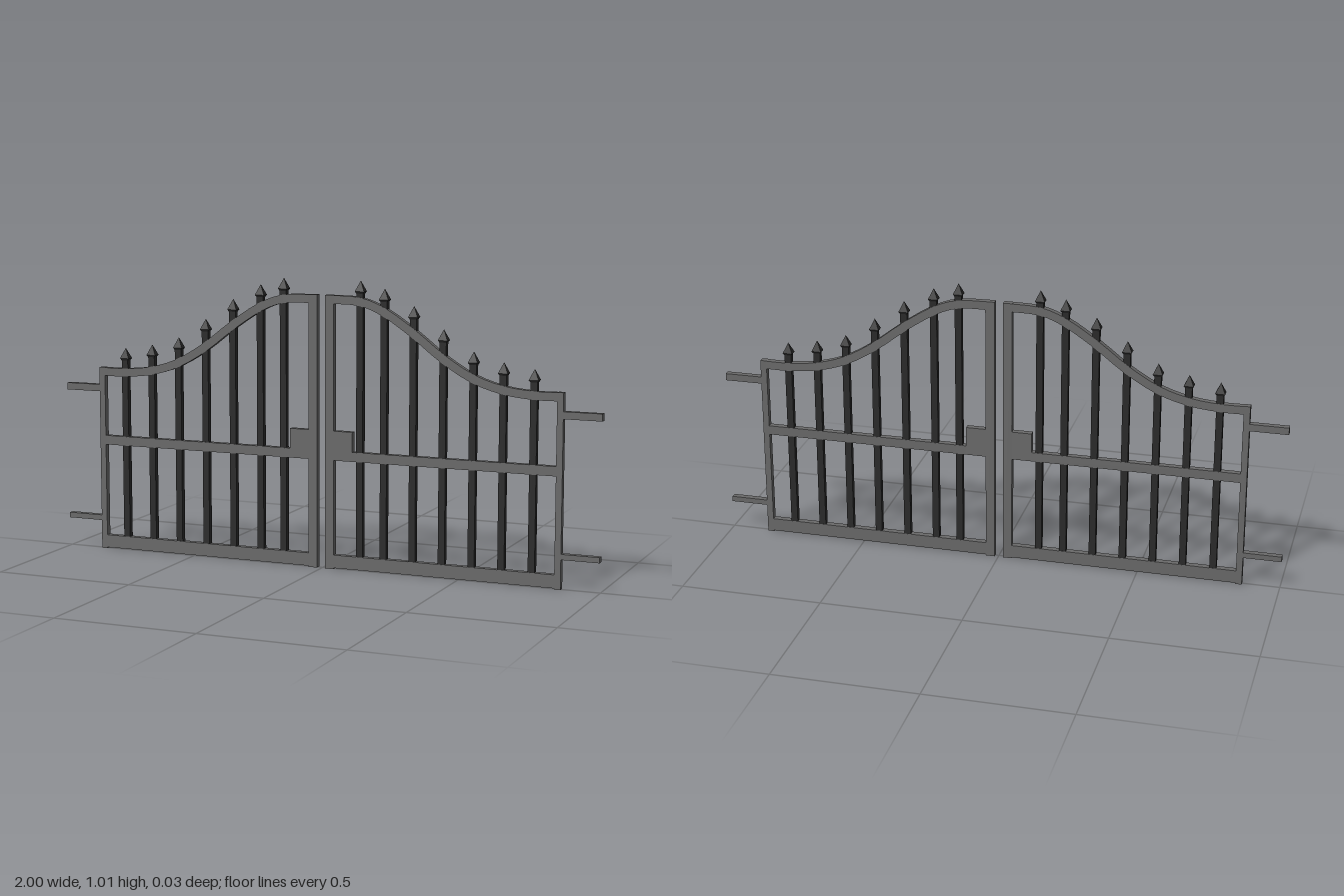
import * as THREE from 'three';

const frameMat = new THREE.MeshStandardMaterial({ color: 0x6a6a6a, flatShading: true });
const barMat = new THREE.MeshStandardMaterial({ color: 0x2b2b2b, flatShading: true });
const DEPTH = 0.022;

// Box given by its front-view extents, centred on z = 0
function slab(name, x0, x1, y0, y1, depth = DEPTH, mat = frameMat) {
  const mesh = new THREE.Mesh(new THREE.BoxGeometry(x1 - x0, y1 - y0, depth), mat);
  mesh.position.set((x0 + x1) / 2, (y0 + y1) / 2, 0);
  mesh.name = name;
  return mesh;
}

// Flat bar of even width swept along the S-shaped top line
function curvedRail() {
  const line = new THREE.SplineCurve([
    [0.045, 0.942], [0.143, 0.938], [0.231, 0.906], [0.337, 0.838], [0.444, 0.757],
    [0.551, 0.695], [0.657, 0.662], [0.764, 0.65], [0.85, 0.65],
  ].map(([x, y]) => new THREE.Vector2(x, y)));
  const upper = [], lower = [];
  for (let i = 0; i <= 24; i++) {
    const p = line.getPoint(i / 24), t = line.getTangent(i / 24);
    const n = new THREE.Vector2(-t.y, t.x).multiplyScalar(0.0145);
    upper.push(p.clone().add(n));
    lower.unshift(p.clone().sub(n));
  }
  const geo = new THREE.ExtrudeGeometry(new THREE.Shape([...upper, ...lower]), {
    depth: DEPTH, bevelEnabled: false,
  });
  geo.translate(0, 0, -DEPTH / 2);
  const mesh = new THREE.Mesh(geo, frameMat);
  mesh.name = 'curvedTopRail';
  return mesh;
}

// Four-sided spear point with a short taper underneath, tip at y = 0
function spikeGeometry() {
  const r = Math.SQRT1_2 * 0.034;
  const profile = [[0, -0.046], [r * 0.65, -0.046], [r, -0.037], [0, 0]];
  const geo = new THREE.LatheGeometry(profile.map(([x, y]) => new THREE.Vector2(x, y)), 4);
  return geo.rotateY(Math.PI / 4).scale(1, 1, 0.82);
}

function createLeaf(side) {
  const leaf = new THREE.Group();
  leaf.name = side > 0 ? 'leftLeaf' : 'rightLeaf';
  const add = (name, x0, x1, ...rest) =>
    leaf.add(side > 0 ? slab(name, x0, x1, ...rest) : slab(name, -x1, -x0, ...rest));

  // Frame
  add('innerPost', 0.015, 0.047, 0, 0.957);
  add('outerPost', 0.845, 0.867, 0, 0.665);
  add('bottomRail', 0.047, 0.845, 0.004, 0.05);
  add('middleRail', 0.047, 0.845, 0.384, 0.417);
  add('lockPlate', 0.047, 0.117, 0.384, 0.487);
  const rail = curvedRail();
  if (side < 0) rail.rotation.y = Math.PI;
  leaf.add(rail);

  // Hinge arms
  add('upperHingeArm', 0.867, 1, 0.577, 0.602);
  add('lowerHingeArm', 0.867, 1, 0.103, 0.122);

  // Upright bars with spear points: [x, tip height]
  const spike = spikeGeometry();
  for (const [x, tip] of [
    [0.143, 1.01], [0.231, 0.985], [0.337, 0.93], [0.444, 0.856],
    [0.551, 0.786], [0.657, 0.755], [0.764, 0.738],
  ]) {
    add('bar', x - 0.012, x + 0.012, 0.045, tip - 0.04, 0.02, barMat);
    const point = new THREE.Mesh(spike, barMat);
    point.name = 'spearPoint';
    point.position.set(side * x, tip, 0);
    leaf.add(point);
  }
  leaf.position.x = -0.002;
  return leaf;
}

export function createModel() {
  const gate = new THREE.Group();
  gate.name = 'doubleGate';
  gate.add(createLeaf(1), createLeaf(-1));
  return gate;
}
